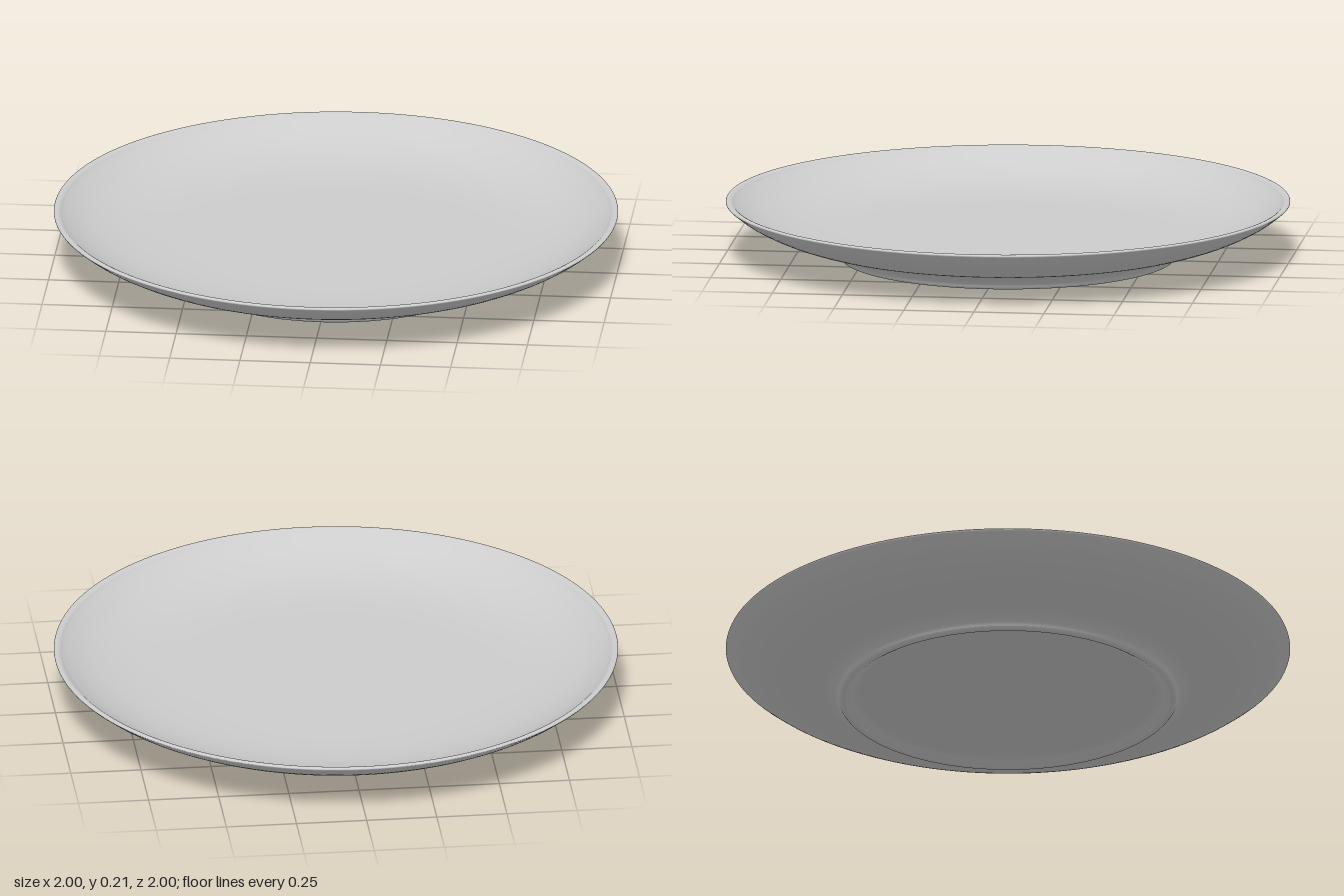
import * as THREE from 'three';

// Smooth curve through [radius, height] points
const smooth = (pts, n) =>
  new THREE.SplineCurve(pts.map(([r, y]) => new THREE.Vector2(r, y))).getPoints(n);

export function createModel() {
  const group = new THREE.Group();
  group.name = 'plate';

  const porcelain = new THREE.MeshStandardMaterial({ color: 0xcccccc });
  porcelain.name = 'porcelain';

  const addLathe = (name, profile) => {
    const mesh = new THREE.Mesh(new THREE.LatheGeometry(profile, 128), porcelain);
    mesh.name = name;
    group.add(mesh);
  };

  // Recessed underside, running out to the inner edge of the foot
  addLathe('base', [
    new THREE.Vector2(0, 0.028),
    ...smooth([[0.5, 0.028], [0.535, 0.024], [0.56, 0.01], [0.575, 0.001]], 16),
  ]);

  // Narrow foot the plate stands on
  addLathe('foot', smooth([[0.575, 0.001], [0.583, 0], [0.593, 0.002], [0.6, 0.009]], 8));

  // Flared outer wall, up to the rim edge
  addLathe('outerWall', smooth([
    [0.6, 0.009], [0.612, 0.025], [0.645, 0.046], [0.7, 0.063], [0.78, 0.083],
    [0.865, 0.114], [0.94, 0.153], [0.985, 0.186], [0.998, 0.197],
  ], 40));

  // Rounded rim
  addLathe('rim', smooth([
    [0.998, 0.197], [1, 0.201], [0.997, 0.205], [0.988, 0.206], [0.978, 0.202], [0.97, 0.195],
  ], 16));

  // Shallow dished inside with a flat floor
  addLathe('dish', [
    ...smooth([
      [0.97, 0.195], [0.945, 0.178], [0.89, 0.148], [0.81, 0.12], [0.72, 0.102],
      [0.62, 0.093], [0.52, 0.09],
    ], 36),
    new THREE.Vector2(0, 0.09),
  ]);

  return group;
}
